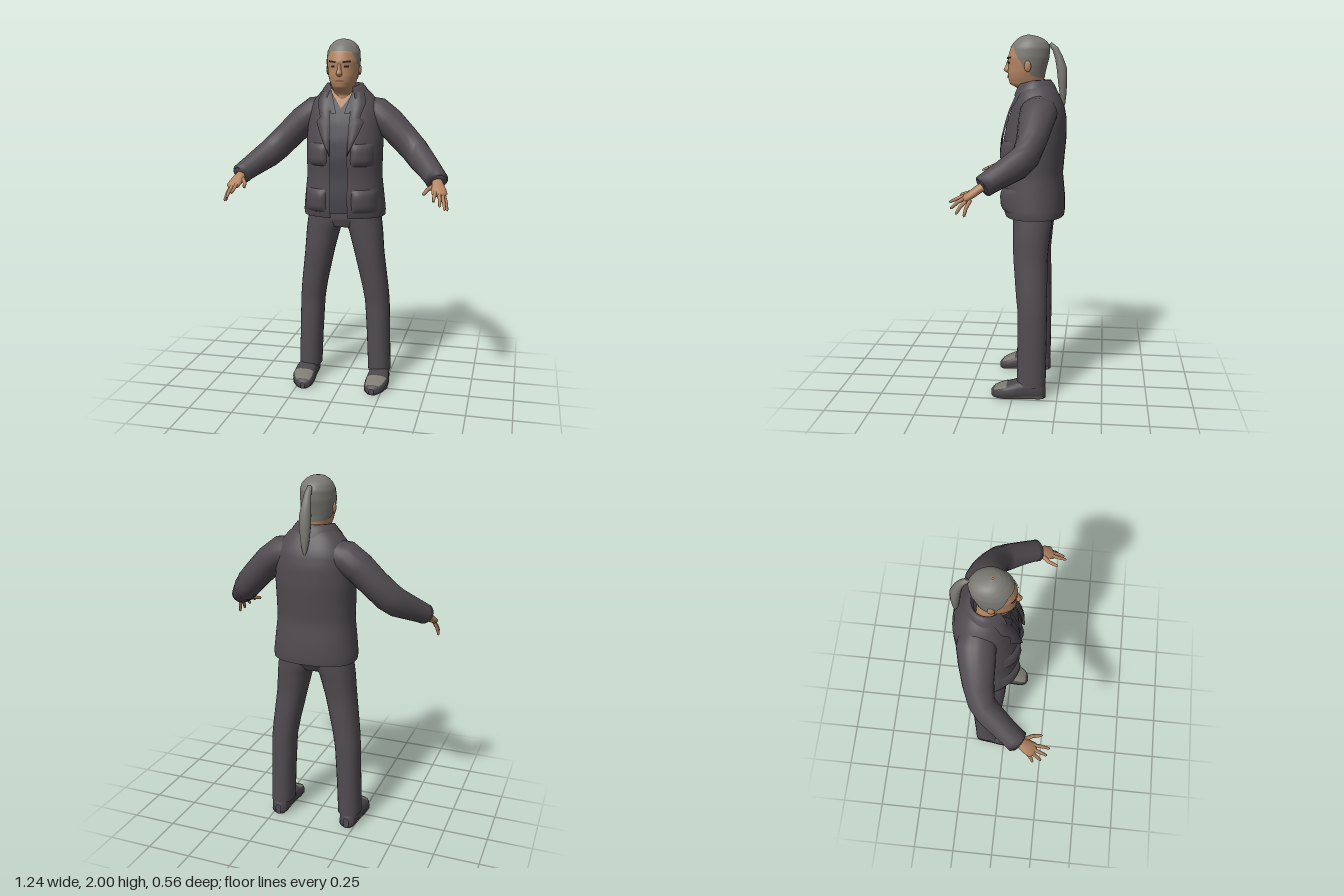
import * as THREE from 'three';

const mat = (name, color) => {
  const m = new THREE.MeshStandardMaterial({ color, side: THREE.DoubleSide });
  m.name = name;
  return m;
};
const V = (x, y, z) => new THREE.Vector3(x, y, z);
const lerp = THREE.MathUtils.lerp;
const PI = Math.PI;

// Linear lookup in rows sorted by their first column
function look(rows, t) {
  let i = 0;
  while (i < rows.length - 2 && t > rows[i + 1][0]) i++;
  const a = rows[i], b = rows[i + 1];
  const f = THREE.MathUtils.clamp((t - a[0]) / (b[0] - a[0]), 0, 1);
  return a.map((n, k) => lerp(n, b[k], f));
}

// Surface from fn(u, v) with u and v in 0..1
function grid(fn, nu, nv, wrap = false, flip = false) {
  const pos = [], idx = [], cols = wrap ? nu : nu + 1;
  for (let j = 0; j <= nv; j++)
    for (let i = 0; i < cols; i++) pos.push(...fn(i / nu, j / nv).toArray());
  for (let j = 0; j < nv; j++)
    for (let i = 0; i < nu; i++) {
      const k = (i + 1) % cols, a = j * cols + i, b = j * cols + k, c = a + cols, d = b + cols;
      if (flip) idx.push(a, d, b, a, c, d);
      else idx.push(a, b, d, a, d, c);
    }
  const g = new THREE.BufferGeometry();
  g.setAttribute('position', new THREE.Float32BufferAttribute(pos, 3));
  g.setIndex(idx);
  g.computeVertexNormals();
  return g;
}

// Point of a horizontal section; row = [y, halfWidth, zFront, zBack], angle 0 is the front
const spow = (n, p) => Math.sign(n) * Math.abs(n) ** p;
function section([y, rx, zf, zb], a, p = 1, off = 0, cx = 0) {
  return V(cx + (rx + off) * spow(Math.sin(a), p), y, (zf + zb) / 2 + ((zf - zb) / 2 + off) * spow(Math.cos(a), p));
}

// Limb through rows of [x, y, z, sideRadius, upRadius], mirrored by s
function limb(rows, n, s = 1, ref = V(0, 1, 0)) {
  const pts = rows.map(r => V(r[0] * s, r[1], r[2]));
  return grid((u, v) => {
    const i = Math.round(v * (rows.length - 1));
    const t = pts[Math.min(i + 1, rows.length - 1)].clone().sub(pts[Math.max(i - 1, 0)]).normalize();
    const x = ref.clone().cross(t).normalize(), y = t.clone().cross(x), a = u * 2 * PI;
    return pts[i].clone().addScaledVector(x, rows[i][3] * Math.cos(a)).addScaledVector(y, (rows[i][4] ?? rows[i][3]) * Math.sin(a));
  }, n, rows.length - 1, true);
}

const TORSO = [[1.02, .232, .058, -.268], [1.05, .235, .068, -.272], [1.13, .226, .074, -.27], [1.25, .213, .068, -.258],
  [1.35, .215, .076, -.266], [1.45, .216, .068, -.275], [1.55, .21, .045, -.275], [1.62, .203, .02, -.262],
  [1.68, .168, -.003, -.235], [1.72, .13, -.018, -.21], [1.745, .098, -.028, -.187]];
const TP = .85;
function torsoZ(x, y) {
  const [, rx, zf, zb] = look(TORSO, y);
  const k = Math.max(0, 1 - Math.min(1, Math.abs(x) / rx) ** (2 / TP));
  return (zf + zb) / 2 + (zf - zb) / 2 * k ** (TP / 2);
}
const onTorso = (x, y, off) => V(x, y, torsoZ(x, y) + off);

const HEAD = [[1.58, .062, -.03, -.16], [1.70, .059, -.022, -.15], [1.72, .058, .0, -.146], [1.738, .06, .037, -.145],
  [1.77, .072, .046, -.148], [1.80, .08, .048, -.153], [1.84, .086, .045, -.163], [1.88, .089, .049, -.174],
  [1.93, .086, .034, -.178], [1.96, .074, .012, -.165], [1.98, .056, -.01, -.14], [1.993, .033, -.032, -.105], [1.999, .005, -.06, -.07]];
const onHead = (a, y, off = 0) => section(look(HEAD, y), a, 1, off);

const LEG = [[.085, .145, .276, -.024, -.186], [.3, .136, .27, -.025, -.188], [.5, .124, .265, -.026, -.19], [.6, .107, .256, -.015, -.188],
  [.8, .062, .232, .003, -.187], [.93, .028, .222, .008, -.2], [.98, .0, .216, .01, -.208], [1.1, -.02, .2, .01, -.21]];

// Rows of [z, centreX, halfWidth, height]
const SHOE = [[-.186, .213, .015, .06], [-.178, .213, .04, .09], [-.15, .214, .05, .11], [-.08, .217, .056, .115], [-.02, .219, .063, .1],
  [.04, .218, .066, .08], [.08, .211, .057, .064], [.108, .206, .04, .05], [.121, .204, .012, .036]];
function onShoe(z, a, s, off = 0) {
  const [, cx, w, h] = look(SHOE, z);
  return V(s * (cx + (w + off) * spow(Math.cos(a), .75)), .006 + h / 2 + (h / 2 + off) * spow(Math.sin(a), .75), z);
}

const ARM = [[.10, 1.61, -.135, .09, .08], [.18, 1.595, -.135, .1, .088], [.25, 1.545, -.125, .093, .083], [.33, 1.465, -.112, .08, .08],
  [.40, 1.395, -.09, .07, .08], [.44, 1.355, -.05, .07, .077], [.495, 1.31, .025, .064, .066], [.535, 1.275, .085, .061, .058],
  [.549, 1.26, .108, .063, .056], [.553, 1.256, .114, .052, .046], [.545, 1.265, .1, .03, .03]];
const PALM = [[.54, 1.265, .09, .028, .024], [.553, 1.25, .125, .03, .022], [.563, 1.225, .16, .04, .02], [.572, 1.205, .19, .042, .017], [.577, 1.195, .2, .025, .008]];
const FINGERS = [
  [[.535, 1.24, .135], [.505, 1.222, .18], [.49, 1.205, .235]],
  [[.55, 1.22, .18], [.548, 1.2, .23], [.55, 1.178, .28]],
  [[.568, 1.21, .185], [.577, 1.185, .23], [.582, 1.15, .268]],
  [[.584, 1.2, .18], [.597, 1.165, .215], [.606, 1.127, .238]],
  [[.592, 1.2, .165], [.606, 1.16, .185], [.615, 1.117, .195]]];

export function createModel() {
  const root = new THREE.Group();
  const cloth = mat('charcoal cloth', 0x504b50), shirtMat = mat('dark shirt', 0x47464c), skin = mat('skin', 0xb58663);
  const hair = mat('grey hair', 0x7b7972), shoeMat = mat('shoe leather', 0x49464a), worn = mat('worn grey', 0x7c7a71);
  const dark = mat('brow and eye dark', 0x2b2523), lip = mat('lips', 0x8f5e4b);
  const add = (name, geo, m) => {
    const mesh = new THREE.Mesh(geo, m);
    mesh.name = name;
    root.add(mesh);
    return mesh;
  };

  // Coat body, open down the front
  add('coat', grid((u, v) => {
    const row = look(TORSO, lerp(1.02, 1.745, v));
    const gap = row[0] > 1.4 ? lerp(.048, .072, (row[0] - 1.4) / .345) : .048;
    const a = Math.asin((gap / row[1]) ** (1 / TP));
    return section(row, lerp(a, 2 * PI - a, u), TP);
  }, 56, 30), cloth);

  // Shirt with a V neck, its placket, and the chest behind
  add('shirt', grid((u, v) => {
    const x = lerp(-.085, .085, u);
    return onTorso(x, lerp(1.045, 1.625 + Math.abs(x) * 1.4, v), -.014);
  }, 16, 24), shirtMat);
  add('placket', grid((u, v) => onTorso(lerp(-.014, .014, u), lerp(1.06, 1.61, v), -.009), 2, 20), shirtMat);
  add('chest', grid((u, v) => onTorso(lerp(-.09, .09, u), lerp(1.57, 1.735, v), -.022), 12, 8), skin);

  // Folded collar
  const fold = [[0, .073, 1.715], [1, .086, 1.762], [2, .1, 1.762], [3, .122, 1.735], [4, .14, 1.7]];
  add('collar', grid((u, v) => {
    const [, r, y] = look(fold, v * 4), a = lerp(.6, 2 * PI - .6, u);
    const drop = .025 * Math.max(0, Math.cos(a));
    return V(r * Math.sin(a), y - drop, -.098 + r * .9 * Math.cos(a));
  }, 32, 8, false, true), cloth);

  for (const s of [1, -1]) {
    const flip = s < 0;
    // Lapel and shirt collar leaf
    const edge = [[1.37, .048, .05], [1.5, .052, .112], [1.56, .054, .135], [1.575, .055, .112], [1.6, .056, .118], [1.66, .062, .138], [1.715, .068, .12]];
    add('lapel', grid((u, v) => {
      const [y, a, b] = look(edge, lerp(1.37, 1.715, v));
      return onTorso(s * lerp(a, b, u), y, .004 + .012 * Math.sin(u * PI * .8));
    }, 6, 28, false, flip), cloth);
    add('shirtCollar', grid((u, v) => {
      const y = lerp(1.6, 1.725, v);
      return onTorso(s * (lerp(.022, .06, v) + lerp(0, .03, u)), y, .002);
    }, 3, 6, false, flip), shirtMat);

    // Bulging pockets
    for (const [name, x0, x1, y0, y1, d] of [['chestPocket', .065, .19, 1.31, 1.44, .022], ['hipPocket', .07, .212, 1.05, 1.185, .024]])
      add(name, grid((u, v) => {
        const b = (1 - Math.abs(2 * u - 1) ** 4) * (1 - Math.abs(2 * v - 1) ** 4);
        return onTorso(s * lerp(x0, x1, u), lerp(y0, y1, v), -.003 + d * b);
      }, 12, 12, false, flip), cloth);

    // Sleeve, hand and fingers
    add('sleeve', limb(ARM, 20, s), cloth);
    add('palm', limb(PALM, 12, s), skin);
    FINGERS.forEach(([a, b, c], i) => {
      const r = i ? .0095 : .011;
      const tip = c.map((n, k) => lerp(b[k], n, .85));
      add(i ? 'finger' : 'thumb', limb([[...a, r * 1.15], [...b, r], [...tip, r * .75], [...c, .001]], 8, s), skin);
    });

    // Trouser leg
    add('trouserLeg', grid((u, v) => {
      const [y, xi, xo, zf, zb] = look(LEG, lerp(.085, 1.1, v));
      return section([y, (xo - xi) / 2, zf, zb], u * 2 * PI, .88, 0, s * (xi + xo) / 2);
    }, 24, 24, true), cloth);

    // Shoe, sole and worn toe
    add('shoe', grid((u, v) => onShoe(lerp(-.186, .121, v), u * 2 * PI, s), 24, 30, true, flip), shoeMat);
    add('sole', grid((u, v) => onShoe(lerp(-.175, .112, v), lerp(PI * 1.12, PI * 1.88, u), s, .004), 10, 24, false, flip), worn);
    add('toePatch', grid((u, v) => onShoe(lerp(.03, .103, v), lerp(PI * .22, PI * .78, u), s, .003), 10, 10, false, flip), worn);

    // Ear
    const ear = add('ear', new THREE.SphereGeometry(1, 12, 8), skin);
    ear.scale.set(.009, .03, .018);
    ear.position.set(s * .09, 1.835, -.068);

    // Brow and eye
    const face = (name, a0, a1, y0, y1, tilt, m) => add(name, grid((u, v) =>
      onHead(s * lerp(a0, a1, u), lerp(y0, y1, v) + tilt * u, .004), 8, 3, false, flip), m);
    face('brow', .2, .72, 1.872, 1.882, .004, dark);
    face('eye', .28, .58, 1.849, 1.859, 0, dark);
  }

  // Hips joining the legs
  const hips = [[.95, .03, -.03, -.16], [.955, .1, -.008, -.18], [1.0, .195, .006, -.208], [1.1, .2, .008, -.21]];
  add('hips', grid((u, v) => section(look(hips, lerp(.95, 1.1, v)), u * 2 * PI, .9), 28, 30, true), cloth);

  // Head and neck, nose, mouth
  add('head', grid((u, v) => onHead(u * 2 * PI, lerp(1.58, 1.999, v)), 36, 60, true), skin);
  const nose = [[1.798, .004, .05, .03], [1.805, .015, .064, .03], [1.816, .017, .073, .03], [1.835, .011, .062, .03], [1.868, .007, .051, .03]];
  add('nose', grid((u, v) => section(look(nose, lerp(1.798, 1.868, v)), u * 2 * PI), 12, 14, true), skin);
  add('mouth', grid((u, v) => onHead(lerp(-.38, .38, u), 1.777 + (v - .5) * .013 * (1 - (2 * u - 1) ** 2), .004), 10, 3), lip);

  // Hair cap above a shaped hairline
  const line = [[0, 1.936], [.7, 1.932], [1.1, 1.885], [1.35, 1.85], [1.5, 1.815], [1.72, 1.815], [1.85, 1.79], [2.3, 1.775], [PI, 1.768]];
  add('hairCap', grid((u, v) => {
    const a = u * 2 * PI, y = look(line, Math.min(a, 2 * PI - a))[1];
    const p = onHead(a, lerp(y, 1.999, v), .004);
    p.y += .002 * v;
    return p;
  }, 56, 30, true), hair);

  // Ponytail
  add('ponytail', limb([[0, 1.945, -.16, .012, .012], [0, 1.95, -.185, .014, .013], [0, 1.925, -.21, .018, .017], [0, 1.88, -.23, .024, .022],
    [0, 1.82, -.246, .031, .028], [0, 1.75, -.251, .03, .025], [0, 1.68, -.254, .022, .018], [0, 1.635, -.257, .012, .01], [0, 1.61, -.258, .001, .001]],
    14, 1, V(0, 0, 1)), hair);

  return root;
}
